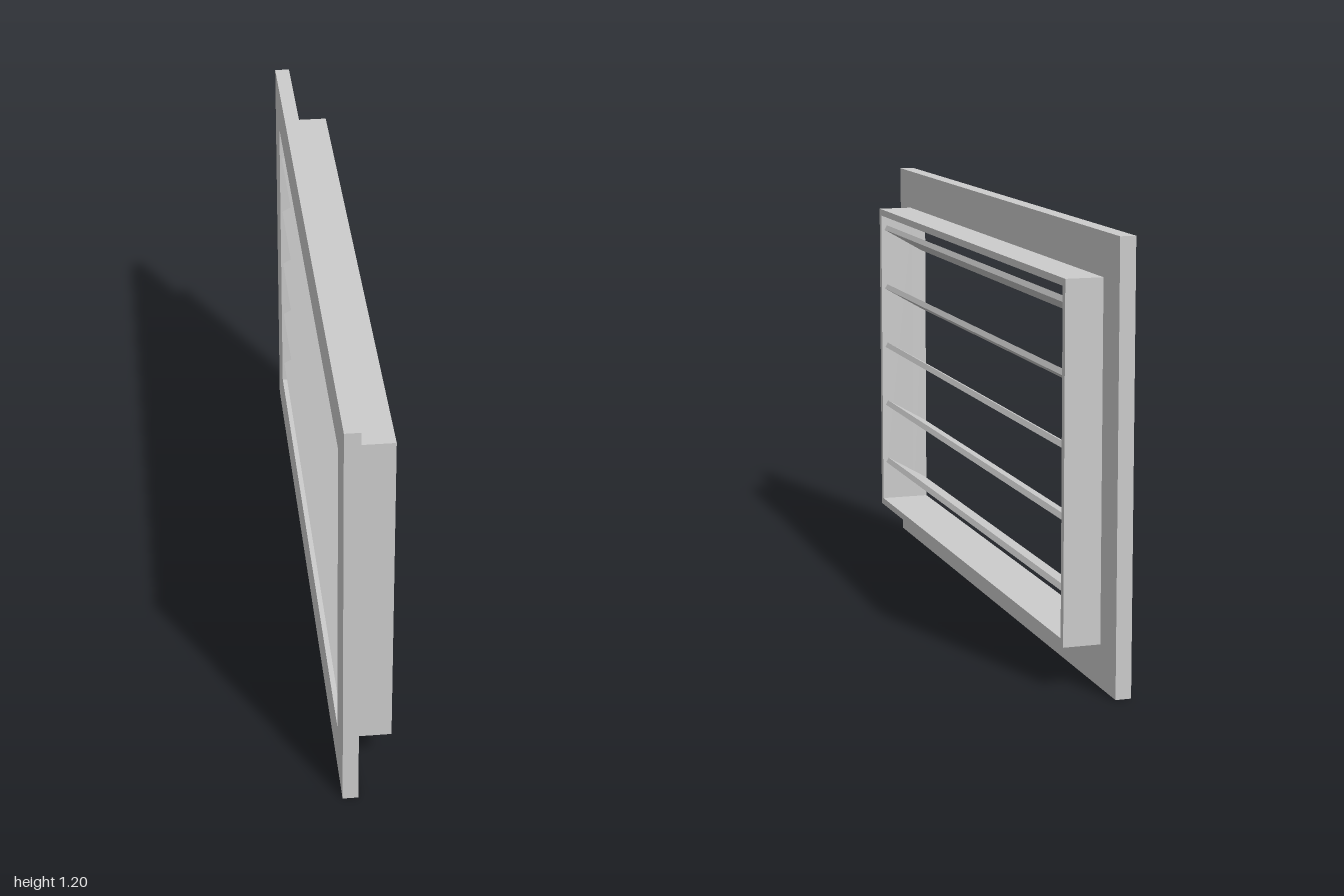
import * as THREE from 'three';

const material = new THREE.MeshStandardMaterial({ color: 0xcccccc, flatShading: true });
const MID_Y = 0.6;
const OPENING = { width: 1.73, height: 0.926 };

function rectangle(target, width, height) {
  const w = width / 2, h = height / 2;
  target.moveTo(-w, -h);
  target.lineTo(w, -h);
  target.lineTo(w, h);
  target.lineTo(-w, h);
  target.closePath();
  return target;
}

// Rectangular ring around the opening, running along x from x0 to x1
function ring(name, width, height, x0, x1) {
  const shape = rectangle(new THREE.Shape(), width, height);
  shape.holes.push(rectangle(new THREE.Path(), OPENING.width, OPENING.height));
  const geometry = new THREE.ExtrudeGeometry(shape, { depth: x1 - x0, bevelEnabled: false });
  geometry.rotateY(Math.PI / 2);
  geometry.translate(x0, MID_Y, 0);
  const mesh = new THREE.Mesh(geometry, material);
  mesh.name = name;
  return mesh;
}

export function createModel() {
  const group = new THREE.Group();
  group.name = 'ventGrille';

  // Wide face flange and the narrower duct sleeve behind it
  group.add(ring('flange', 2, 1.2, -0.073, -0.03));
  group.add(ring('sleeve', 1.77, 0.966, -0.03, 0.073));

  // Five tilted louvre blades, low at the flange and high at the sleeve
  const louvres = new THREE.Group();
  louvres.name = 'louvres';
  const bladeGeometry = new THREE.BoxGeometry(0.14, 0.016, OPENING.width);
  for (let i = 0; i < 5; i++) {
    const blade = new THREE.Mesh(bladeGeometry, material);
    blade.name = `louvreBlade${i + 1}`;
    blade.position.set(-0.002, 0.609 + (i - 2) * 0.19, 0);
    blade.rotation.z = Math.PI / 6;
    louvres.add(blade);
  }
  group.add(louvres);
  return group;
}
